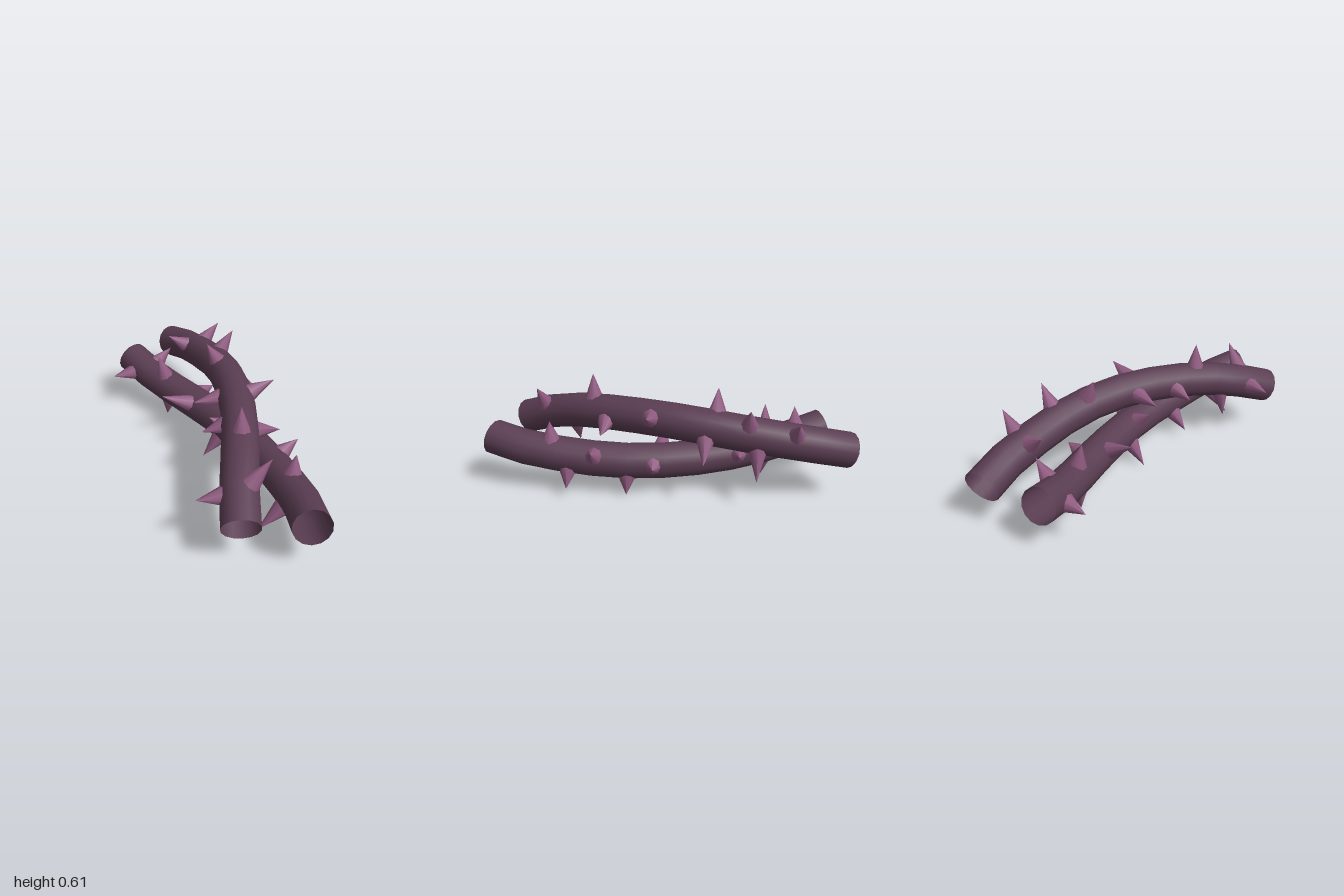
import * as THREE from 'three';

export function createModel() {
  const model = new THREE.Group();
  const bark = new THREE.MeshStandardMaterial({ color: 0x5a3d52, side: THREE.DoubleSide });
  bark.name = 'dark plum bark';
  const thornMat = new THREE.MeshStandardMaterial({ color: 0x915c82 });
  thornMat.name = 'mauve thorn';

  const RADIUS = 0.097, SUNK = 0.08;
  const up = new THREE.Vector3(0, 1, 0);

  // One hollow vine with thorns; each thorn is given by its tip and grows nearly level in z
  function addVine(name, path, tips) {
    const vine = new THREE.Group();
    vine.name = name;
    const curve = new THREE.CatmullRomCurve3(path.map(p => new THREE.Vector3(...p)));
    const stem = new THREE.Mesh(new THREE.TubeGeometry(curve, 10, RADIUS, 14, false), bark);
    stem.name = name + 'Stem';
    vine.add(stem);

    const samples = curve.getSpacedPoints(300);
    for (const t of tips) {
      const tip = new THREE.Vector3(...t);
      const gap = p => (p.x - tip.x) ** 2 + (p.y - tip.y) ** 2 + 5 * (p.z - tip.z) ** 2;
      const centre = samples.reduce((a, b) => (gap(b) < gap(a) ? b : a));
      const dir = tip.clone().sub(centre);
      const height = dir.length() - SUNK;
      dir.normalize();
      const thorn = new THREE.Mesh(new THREE.ConeGeometry(0.05, height, 8), thornMat);
      thorn.name = 'thorn';
      thorn.position.copy(centre).addScaledVector(dir, SUNK + height / 2);
      thorn.quaternion.setFromUnitVectors(up, dir);
      vine.add(thorn);
    }
    model.add(vine);
  }

  // Vine arching upward
  addVine('upperVine', [
    [-0.205, 0.265, 0.855], [-0.172, 0.301, 0.765], [-0.1, 0.358, 0.6], [-0.007, 0.396, 0.4], [0.072, 0.414, 0.2],
    [0.133, 0.418, 0], [0.173, 0.406, -0.2], [0.187, 0.377, -0.42], [0.163, 0.327, -0.7],
    [0.133, 0.291, -0.875], [0.1, 0.265, -0.967],
  ], [
    [0, 0.52, 0.735], [-0.355, 0.335, 0.67], [-0.145, 0.155, 0.54], [-0.015, 0.612, 0.42],
    [0.245, 0.36, 0.345], [-0.15, 0.375, 0.235], [0.33, 0.5, 0.09], [-0.11, 0.41, 0.01],
    [0.37, 0.27, -0.2], [0.08, 0.59, -0.265], [0.312, 0.555, -0.43],
    [0.33, 0.17, -0.475], [0.32, 0.49, -0.675], [-0.01, 0.46, -0.675],
  ]);

  // Vine sagging below it, crossing the other way
  addVine('lowerVine', [
    [0.1, 0.265, 0.967], [0.133, 0.249, 0.875], [0.16, 0.224, 0.7], [0.172, 0.193, 0.42], [0.163, 0.18, 0.2],
    [0.127, 0.175, 0], [0.068, 0.175, -0.2], [-0.009, 0.184, -0.4], [-0.1, 0.205, -0.6],
    [-0.172, 0.24, -0.765], [-0.205, 0.265, -0.855],
  ], [
    [-0.04, 0.068, 0.7], [0.19, 0.41, 0.625], [0.29, 0.06, 0.535], [0.335, 0.3, 0.385],
    [0, 0.055, 0.37], [0.255, 0.02, 0.215], [0.285, 0.19, 0.07], [-0.03, 0.31, 0.04],
    [-0.045, 0.008, -0.02], [-0.205, 0.315, -0.255], [0.17, 0.23, -0.385], [-0.13, 0.42, -0.525],
    [-0.09, 0.003, -0.52], [0.01, 0.36, -0.705], [-0.37, 0.23, -0.71],
  ]);

  return model;
}
